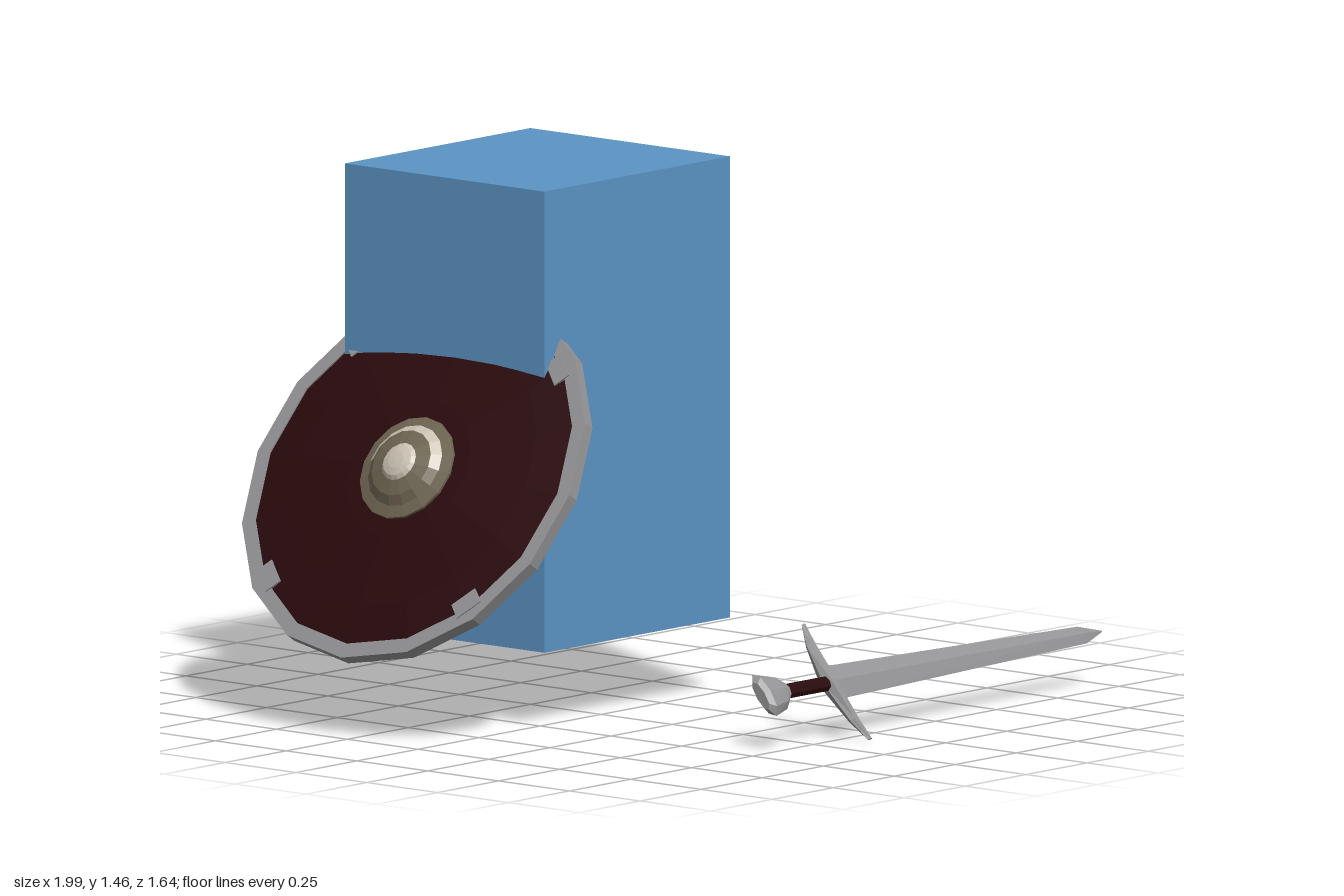
import * as THREE from 'three';

const mat = (name, color) => {
  const m = new THREE.MeshStandardMaterial({ color });
  m.name = name;
  return m;
};

// Closed loft along x; each section is [x, halfWidthY, halfThicknessZ, offsetY]
function loft(sections, n) {
  const pos = [], idx = [], last = sections.length - 1;
  for (const [x, w, t, off = 0] of sections) {
    for (let i = 0; i < n; i++) {
      const a = (i / n) * Math.PI * 2;
      pos.push(x, off + Math.cos(a) * w, Math.sin(a) * t);
    }
  }
  for (let k = 0; k < last; k++) {
    for (let i = 0; i < n; i++) {
      const a = k * n + i, b = k * n + ((i + 1) % n);
      idx.push(a, b, a + n, b, b + n, a + n);
    }
  }
  for (let i = 1; i < n - 1; i++) {
    idx.push(0, i + 1, i, last * n, last * n + i, last * n + i + 1);
  }
  const g = new THREE.BufferGeometry();
  g.setAttribute('position', new THREE.Float32BufferAttribute(pos, 3));
  g.setIndex(idx);
  const flat = g.toNonIndexed();
  flat.computeVertexNormals();
  return flat;
}

// Faceted solid of revolution about y
function lathe(points, segments, start = 0, length = Math.PI * 2) {
  const pts = points.map(([r, y]) => new THREE.Vector2(r, y));
  const g = new THREE.LatheGeometry(pts, segments, start, length).toNonIndexed();
  g.computeVertexNormals();
  return g;
}

export function createModel() {
  const blue = mat('blue', 0x5b94c5);
  const maroon = mat('dark maroon', 0x2a0a0d);
  const steel = mat('steel', 0x939395);
  const taupe = mat('taupe', 0x6e6552);
  const pale = mat('pale bone', 0xc8bfb0);

  const model = new THREE.Group();
  const add = (parent, name, geometry, material) => {
    const m = new THREE.Mesh(geometry, material);
    m.name = name;
    parent.add(m);
    return m;
  };

  // Block
  add(model, 'block', new THREE.BoxGeometry(0.76, 1.25, 0.705), blue).position.set(-0.155, 0.84, -0.307);

  // Round shield, leaning; local y is its outward axis
  const shield = new THREE.Group();
  shield.name = 'shield';
  shield.position.set(-0.69, 0.68, -0.27);
  shield.rotation.z = 1.002;
  model.add(shield);
  add(shield, 'shieldBoard', lathe([[0, 0.025], [0.27, 0.018], [0.52, -0.012],
    [0.52, 0.012], [0.4, 0.026], [0.2, 0.043], [0, 0.048]], 16), maroon);
  add(shield, 'shieldRim', lathe([[0.508, -0.018], [0.55, -0.018], [0.55, 0.018],
    [0.508, 0.018], [0.508, -0.018]], 16), steel);
  for (let i = 0; i < 4; i++) {
    const a = Math.PI / 4 + (i * Math.PI) / 2;
    const clip = add(shield, 'rimClip', new THREE.BoxGeometry(0.05, 0.042, 0.08), steel);
    clip.position.set(Math.cos(a) * 0.492, 0, -Math.sin(a) * 0.492);
    clip.rotation.y = a;
  }

  // Shield boss
  add(shield, 'bossFlange', lathe([[0.15, 0.03], [0.15, 0.052], [0.118, 0.06], [0.095, 0.078], [0.055, 0.09]], 16), taupe);
  add(shield, 'bossHighlightRing', lathe([[0.121, 0.062], [0.097, 0.081]], 8, 0, Math.PI), pale);
  add(shield, 'bossCap', lathe([[0.056, 0.088], [0.045, 0.098], [0.025, 0.104], [0, 0.106]], 16), pale);

  // Sword lying along x, tilted about its length
  const sword = new THREE.Group();
  sword.name = 'sword';
  sword.position.set(0, 0.152, 0.698);
  sword.rotation.x = -0.69;
  model.add(sword);
  add(sword, 'blade', loft([[-0.12, 0.052, 0.014], [0.91, 0.027, 0.009], [0.99, 0.002, 0.001]], 4), steel);
  add(sword, 'grip', loft([[-0.32, 0.022, 0.018], [-0.13, 0.022, 0.018]], 8), maroon);
  add(sword, 'pommel', loft([[-0.405, 0.045, 0.016], [-0.39, 0.066, 0.026],
    [-0.335, 0.052, 0.026], [-0.305, 0.024, 0.02]], 8), steel);
  const guard = add(sword, 'guard', loft([[-0.185, 0.008, 0.004, 0.095], [-0.12, 0.016, 0.013, 0.113],
    [0, 0.021, 0.026, 0.128], [0.12, 0.016, 0.013, 0.113], [0.185, 0.008, 0.004, 0.095]], 6), steel);
  guard.rotation.z = Math.PI / 2;

  // Curved, open-mouthed horn: a tube tapered towards the tip
  const curve = new THREE.CatmullRomCurve3([
    [-0.45, 0.395, -0.64], [-0.26, 0.30, -0.61], [-0.10, 0.235, -0.55],
    [0.07, 0.27, -0.47], [0.25, 0.43, -0.38], [0.375, 0.6, -0.29],
  ].map((p) => new THREE.Vector3(...p)));
  const T = 40, R = 12;
  const horn = new THREE.TubeGeometry(curve, T, 1, R);
  const p = horn.attributes.position, v = new THREE.Vector3();
  for (let i = 0; i < p.count; i++) {
    const u = Math.floor(i / (R + 1)) / T;
    const c = curve.getPointAt(u);
    v.fromBufferAttribute(p, i).sub(c).multiplyScalar(0.113 * (1 - u) + 0.001).add(c);
    p.setXYZ(i, v.x, v.y, v.z);
  }
  // Alternating dark and pale bands along the horn
  const bands = [0, 8, 10, 17, 33, T];
  for (let b = 0; b < bands.length - 1; b++) {
    horn.addGroup(bands[b] * R * 6, (bands[b + 1] - bands[b]) * R * 6, b % 2);
  }
  add(model, 'horn', horn, [taupe, pale]);

  return model;
}
